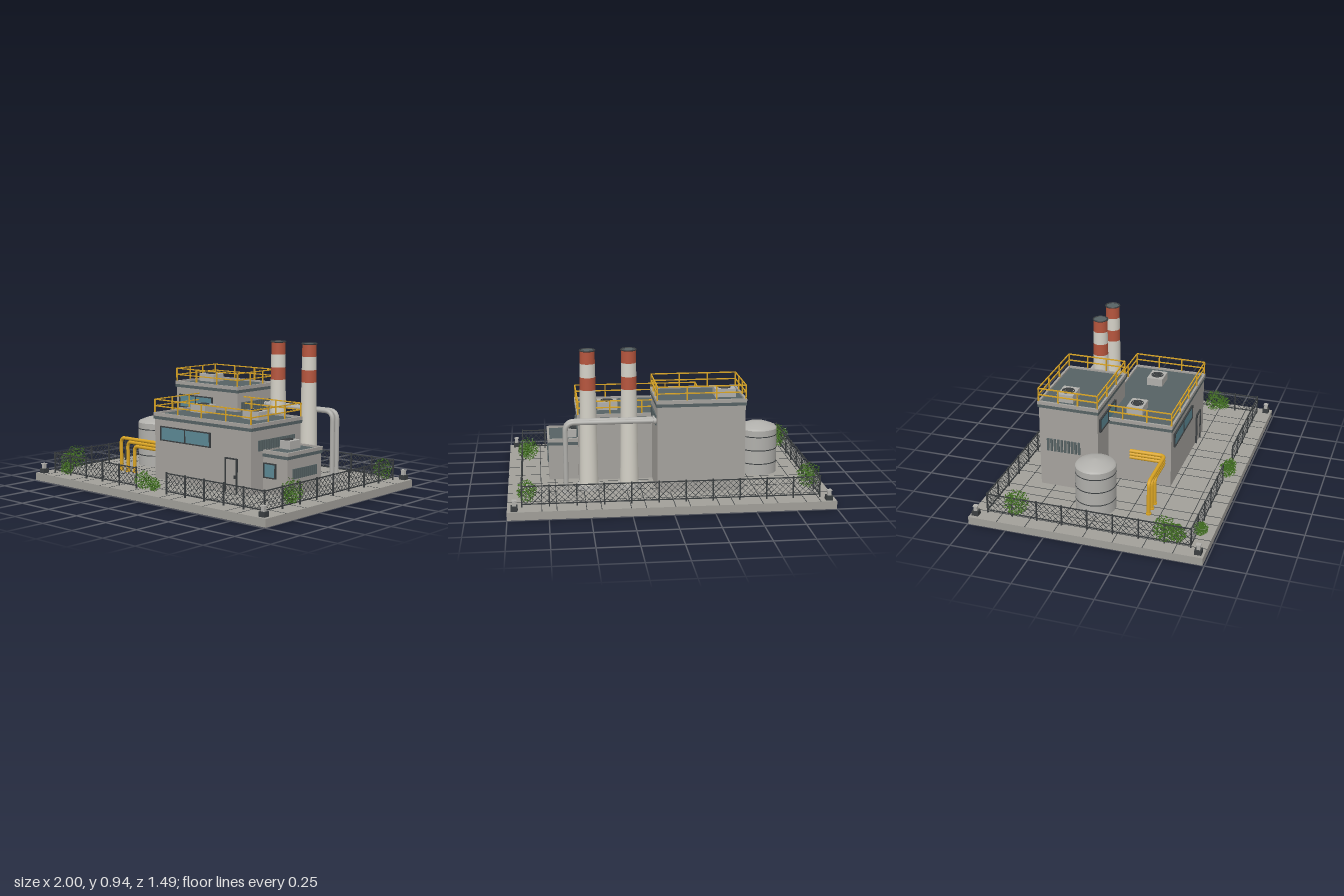
import * as THREE from 'three';
import { mergeGeometries } from 'three/addons/utils/BufferGeometryUtils.js';

const mat = (name, color, side = THREE.FrontSide) => {
  const m = new THREE.MeshStandardMaterial({ color, side });
  m.name = name;
  return m;
};

export function createModel() {
  const root = new THREE.Group();
  root.name = 'industrialPlant';
  const M = {
    wall: mat('concreteWall', 0xa5a29d), slab: mat('pavement', 0xa19f99), roof: mat('slateRoof', 0x566264),
    glass: mat('glass', 0x5c8995), dark: mat('darkSteel', 0x3a3e40), yellow: mat('safetyYellow', 0xd9a424),
    red: mat('warningRed', 0xb5553d), cream: mat('chimneyCream', 0xd3d0c6), metal: mat('lightMetal', 0xb0afab),
    leaf: mat('leafGreen', 0x3b661c, THREE.DoubleSide),
  };
  const mesh = (name, geo, m, parent = root) => {
    const o = new THREE.Mesh(geo, m);
    o.name = name;
    parent.add(o);
    return o;
  };
  const group = (name) => {
    const g = new THREE.Group();
    g.name = name;
    root.add(g);
    return g;
  };
  // Box given by its minimum and maximum along each axis
  const boxGeo = (x0, x1, y0, y1, z0, z1) =>
    new THREE.BoxGeometry(x1 - x0, y1 - y0, z1 - z0).translate((x0 + x1) / 2, (y0 + y1) / 2, (z0 + z1) / 2);
  const cylGeo = (rt, rb, y0, y1, x, z, n = 24) =>
    new THREE.CylinderGeometry(rt, rb, y1 - y0, n).translate(x, (y0 + y1) / 2, z);
  // Thin square bar between two points
  const bar = (a, b, w) => {
    const A = new THREE.Vector3(...a), d = new THREE.Vector3(...b).sub(A), len = d.length();
    const q = new THREE.Quaternion().setFromUnitVectors(new THREE.Vector3(0, 1, 0), d.clone().normalize());
    return new THREE.BoxGeometry(w, len, w).applyQuaternion(q).translate(A.x + d.x / 2, A.y + d.y / 2, A.z + d.z / 2);
  };

  // Ground slab with paving joints
  mesh('groundSlab', boxGeo(-1, 1, 0, 0.05, -0.745, 0.74), M.slab);
  const joints = [];
  for (let k = -3; k <= 3; k++) joints.push(boxGeo(-1, 1, 0.05, 0.051, k * 0.186 - 0.002, k * 0.186 + 0.002));
  for (let k = 0; k < 7; k++) for (const o of [0, 0.09]) {
    const x = -0.9 + k * 0.267 + o;
    joints.push(boxGeo(x - 0.002, x + 0.002, 0.05, 0.051, -0.745, 0.74));
  }
  mesh('pavingJoints', mergeGeometries(joints), M.dark);

  // Buildings: body, dark band, parapet and recessed roof
  const building = (name, x0, x1, z0, z1, top, rail) => {
    const g = group(name), e = 0.007;
    mesh('walls', boxGeo(x0, x1, 0.05, top - 0.04, z0, z1), M.wall, g);
    mesh('roofBand', boxGeo(x0 - e, x1 + e, top - 0.042, top - 0.022, z0 - e, z1 + e), M.roof, g);
    const a = x0 - e, b = x1 + e, c = z0 - e, d = z1 + e, t = 0.014, y = top - 0.022;
    mesh('parapet', mergeGeometries([
      boxGeo(a, b, y, top, c, c + t), boxGeo(a, b, y, top, d - t, d),
      boxGeo(a, a + t, y, top, c + t, d - t), boxGeo(b - t, b, y, top, c + t, d - t)]), M.wall, g);
    mesh('roof', boxGeo(a + t, b - t, y, top - 0.012, c + t, d - t), M.roof, g);
    if (!rail) return g;
    const bars = [], h = 0.085, [nx, nz] = rail;
    for (const z of [z0, z1]) {
      for (const k of [0.5, 1]) bars.push(bar([x0, top + h * k, z], [x1, top + h * k, z], 0.007));
      for (let i = 0; i <= nx; i++) {
        const x = x0 + (x1 - x0) * i / nx;
        bars.push(bar([x, top, z], [x, top + h, z], 0.008));
      }
    }
    for (const x of [x0, x1]) {
      for (const k of [0.5, 1]) bars.push(bar([x, top + h * k, z0], [x, top + h * k, z1], 0.007));
      for (let i = 1; i < nz; i++) {
        const z = z0 + (z1 - z0) * i / nz;
        bars.push(bar([x, top, z], [x, top + h, z], 0.008));
      }
    }
    mesh('roofRailing', mergeGeometries(bars), M.yellow, g);
    return g;
  };
  const main = building('mainHall', -0.27, 0.548, -0.145, 0.337, 0.485, [4, 3]);
  const rear = building('rearHall', -0.475, 0.073, -0.468, -0.08, 0.64, [3, 3]);
  const annex = building('annex', 0.548, 0.738, -0.11, 0.222, 0.32, null);

  // Front windows: frame bars round a thin pane
  const frontWindow = (g, x0, x1, y0, y1, z, mullion = true) => {
    const f = 0.007;
    mesh('windowPane', boxGeo(x0, x1, y0, y1, z, z + 0.006), M.glass, g);
    const frame = [boxGeo(x0 - f, x1 + f, y1, y1 + f, z, z + 0.012), boxGeo(x0 - f, x1 + f, y0 - f, y0, z, z + 0.012),
      boxGeo(x0 - f, x0, y0, y1, z, z + 0.012), boxGeo(x1, x1 + f, y0, y1, z, z + 0.012)];
    const c = (x0 + x1) / 2;
    if (mullion) frame.push(boxGeo(c - 0.003, c + 0.003, y0, y1, z, z + 0.011));
    mesh('windowFrame', mergeGeometries(frame), M.dark, g);
  };
  frontWindow(main, -0.208, 0.213, 0.315, 0.395, 0.337);
  frontWindow(rear, -0.44, -0.15, 0.47, 0.545, -0.08);
  frontWindow(annex, 0.562, 0.645, 0.155, 0.235, 0.222, false);

  // Door with a dark surround
  mesh('doorFrame', mergeGeometries([boxGeo(0.343, 0.351, 0.05, 0.265, 0.337, 0.349),
    boxGeo(0.434, 0.442, 0.05, 0.265, 0.337, 0.349), boxGeo(0.351, 0.434, 0.257, 0.265, 0.337, 0.349)]), M.dark, main);
  mesh('door', boxGeo(0.351, 0.434, 0.05, 0.257, 0.337, 0.342), M.wall, main);
  mesh('doorHandle', boxGeo(0.42, 0.427, 0.14, 0.16, 0.342, 0.349), M.dark, main);

  // Side louvres: rows of upright slats
  const louvre = (g, x, s, y0, y1, z0, z1, n) => {
    const slats = [], p = (z1 - z0) / n;
    for (let i = 0; i < n; i++) {
      slats.push(boxGeo(Math.min(x, x + s * 0.007), Math.max(x, x + s * 0.007), y0, y1, z0 + i * p, z0 + (i + 0.65) * p));
    }
    mesh('sideLouvre', mergeGeometries(slats), M.roof, g);
  };
  louvre(main, 0.548, 1, 0.315, 0.38, -0.08, 0.28, 16);
  louvre(rear, 0.073, 1, 0.47, 0.535, -0.41, -0.11, 14);
  louvre(annex, 0.738, 1, 0.153, 0.215, -0.06, 0.18, 12);
  louvre(rear, -0.475, -1, 0.3, 0.385, -0.42, -0.19, 10);

  // Rooftop fan units
  for (const [x, y, z] of [[-0.1, 0.473, 0.06], [0.35, 0.473, 0.06], [-0.365, 0.628, -0.31], [0.568, 0.308, 0.016]]) {
    const g = group('fanUnit');
    mesh('fanHousing', boxGeo(x - 0.065, x + 0.065, y, y + 0.052, z - 0.053, z + 0.053), M.metal, g);
    for (const r of [0.038, 0.027, 0.016]) {
      mesh('fanGrille', new THREE.TorusGeometry(r, 0.003, 6, 24).rotateX(Math.PI / 2).translate(x, y + 0.054, z), M.dark, g);
    }
    const blades = [];
    for (let i = 0; i < 4; i++) {
      blades.push(new THREE.BoxGeometry(0.074, 0.004, 0.005).rotateY(i * Math.PI / 4).translate(x, y + 0.054, z));
    }
    mesh('fanBlades', mergeGeometries(blades), M.dark, g);
  }

  // Banded chimneys
  for (const x of [0.235, 0.49]) {
    const g = group('chimney'), z = -0.302;
    const levels = [0.05, 0.685, 0.765, 0.85, 0.93];
    const radius = (y) => 0.059 - 0.0135 * (y - 0.05) / 0.88;
    for (let i = 0; i < 4; i++) {
      mesh('chimneySection', cylGeo(radius(levels[i + 1]), radius(levels[i]), levels[i], levels[i + 1], x, z),
        i % 2 ? M.red : M.cream, g);
    }
    mesh('chimneyFoot', cylGeo(0.076, 0.08, 0.05, 0.075, x, z), M.metal, g);
    mesh('chimneyRim', new THREE.TorusGeometry(0.047, 0.005, 8, 24).rotateX(Math.PI / 2).translate(x, 0.932, z), M.dark, g);
    mesh('chimneyMouth', cylGeo(0.043, 0.043, 0.925, 0.932, x, z), M.roof, g);
  }

  // Pipes with rounded corners
  const pipe = (name, pts, r, bend, m) => {
    const P = pts.map((p) => new THREE.Vector3(...p)), path = new THREE.CurvePath();
    let from = P[0];
    for (let i = 1; i < P.length - 1; i++) {
      const a = P[i].clone().add(P[i - 1].clone().sub(P[i]).setLength(bend));
      const b = P[i].clone().add(P[i + 1].clone().sub(P[i]).setLength(bend));
      path.add(new THREE.LineCurve3(from, a));
      path.add(new THREE.QuadraticBezierCurve3(a, P[i], b));
      from = b;
    }
    path.add(new THREE.LineCurve3(from, P[P.length - 1]));
    mesh(name, new THREE.TubeGeometry(path, 90, r, 12), m);
  };
  for (const z of [-0.41, -0.362]) {
    pipe('exhaustPipe', [[0.07, 0.5, z], [0.637, 0.5, z], [0.637, 0.05, z]], 0.015, 0.06, M.metal);
    mesh('pipeFlange', cylGeo(0.022, 0.022, 0.05, 0.062, 0.637, z, 16), M.metal);
    mesh('pipeCollar', new THREE.CylinderGeometry(0.021, 0.021, 0.014, 16).rotateZ(Math.PI / 2).translate(0.085, 0.5, z), M.metal);
  }
  [[-0.632, 0.275], [-0.568, 0.253], [-0.504, 0.231]].forEach(([x, y]) => {
    pipe('yellowPipe', [[-0.285, y, 0.07], [-0.285, y, 0.3], [x, y, 0.3], [x, 0.05, 0.3]], 0.012, 0.035, M.yellow);
    mesh('yellowFlange', cylGeo(0.017, 0.017, 0.05, 0.06, x, 0.3, 16), M.yellow);
  });

  // Storage tank with a shallow domed lid
  const tank = group('storageTank');
  const profile = [[0.127, 0.05], [0.127, 0.345], [0.115, 0.358], [0.06, 0.379], [0, 0.387]].map((p) => new THREE.Vector2(...p));
  mesh('tankShell', new THREE.LatheGeometry(profile.slice(0, 2), 32).translate(-0.635, 0, -0.04), M.metal, tank);
  mesh('tankLid', new THREE.LatheGeometry(profile.slice(1), 32).translate(-0.635, 0, -0.04), M.metal, tank);
  for (const y of [0.12, 0.21, 0.3]) mesh('tankHoop', cylGeo(0.128, 0.128, y, y + 0.006, -0.635, -0.04, 32), M.dark, tank);

  // Chain-link fence: posts, rails and diagonal wires
  const fence = (ax, az, bx, bz) => {
    const len = Math.hypot(bx - ax, bz - az), n = Math.max(1, Math.round(len / 0.1625)), parts = [];
    const at = (s, y) => [ax + (bx - ax) * s / len, y, az + (bz - az) * s / len];
    for (let i = 0; i <= n; i++) parts.push(bar(at(len * i / n, 0.05), at(len * i / n, 0.188), 0.008));
    const y0 = 0.068, y1 = 0.18, h = y1 - y0;
    for (const y of [y0, y1]) parts.push(bar(at(0, y), at(len, y), 0.006));
    for (let s = -h; s < len; s += 0.036) {
      const a = Math.max(s, 0), b = Math.min(s + h, len);
      if (b - a < 0.004) continue;
      parts.push(bar(at(a, y0 + a - s), at(b, y0 + b - s), 0.0022));
      parts.push(bar(at(a, y1 - a + s), at(b, y1 - b + s), 0.0022));
    }
    mesh('fence', mergeGeometries(parts), M.dark);
  };
  fence(-0.912, 0.645, -0.13, 0.645);
  fence(0.135, 0.645, 0.912, 0.645);
  fence(-0.912, -0.652, 0.912, -0.652);
  for (const x of [-0.912, 0.912]) fence(x, -0.652, x, 0.645);

  // Corner bollards
  for (const x of [-0.956, 0.956]) for (const z of [-0.71, 0.703]) {
    const g = group('bollard');
    mesh('bollardBase', boxGeo(x - 0.021, x + 0.021, 0.05, 0.08, z - 0.021, z + 0.021), M.dark, g);
    mesh('bollardPost', boxGeo(x - 0.011, x + 0.011, 0.08, 0.108, z - 0.011, z + 0.011), M.metal, g);
    mesh('bollardCap', boxGeo(x - 0.015, x + 0.015, 0.108, 0.114, z - 0.015, z + 0.015), M.metal, g);
  }

  // Shrubs: clouds of small loose leaves
  let seed = 7;
  const rnd = () => (seed = (seed * 16807) % 2147483647) / 2147483647;
  const shrub = (x, z, r, top) => {
    const pos = [], cy = (0.055 + top) / 2, ry = (top - 0.055) / 2;
    for (let i = 0; i < 60 + r * 5500; i++) {
      const u = rnd() * 2 - 1, t = rnd() * Math.PI * 2, k = Math.cbrt(rnd()), w = Math.sqrt(1 - u * u);
      const c = new THREE.Vector3(x + r * k * w * Math.cos(t), cy + ry * k * u, z + r * k * w * Math.sin(t));
      const e = new THREE.Euler((rnd() - 0.5) * 1.2, rnd() * 6.28, (rnd() - 0.5) * 1.2), s = 0.008;
      const [a, b, d, f] = [[-s, 0], [0, s * 0.6], [s, 0], [0, -s * 0.6]]
        .map(([px, pz]) => new THREE.Vector3(px, 0, pz).applyEuler(e).add(c));
      for (const v of [a, b, d, a, d, f]) pos.push(v.x, v.y, v.z);
    }
    const geo = new THREE.BufferGeometry();
    geo.setAttribute('position', new THREE.Float32BufferAttribute(pos, 3));
    geo.computeVertexNormals();
    mesh('shrub', geo, M.leaf);
  };
  for (const s of [[-0.885, -0.47, 0.08, 0.22], [0.88, -0.58, 0.062, 0.2], [0.87, 0.34, 0.068, 0.21], [0.9, 0.4, 0.045, 0.16],
    [-0.89, 0.475, 0.072, 0.22], [-0.885, 0.555, 0.054, 0.18], [-0.765, 0.665, 0.046, 0.14],
    [-0.05, 0.66, 0.055, 0.175], [0.035, 0.655, 0.04, 0.145]]) shrub(...s);

  return root;
}
